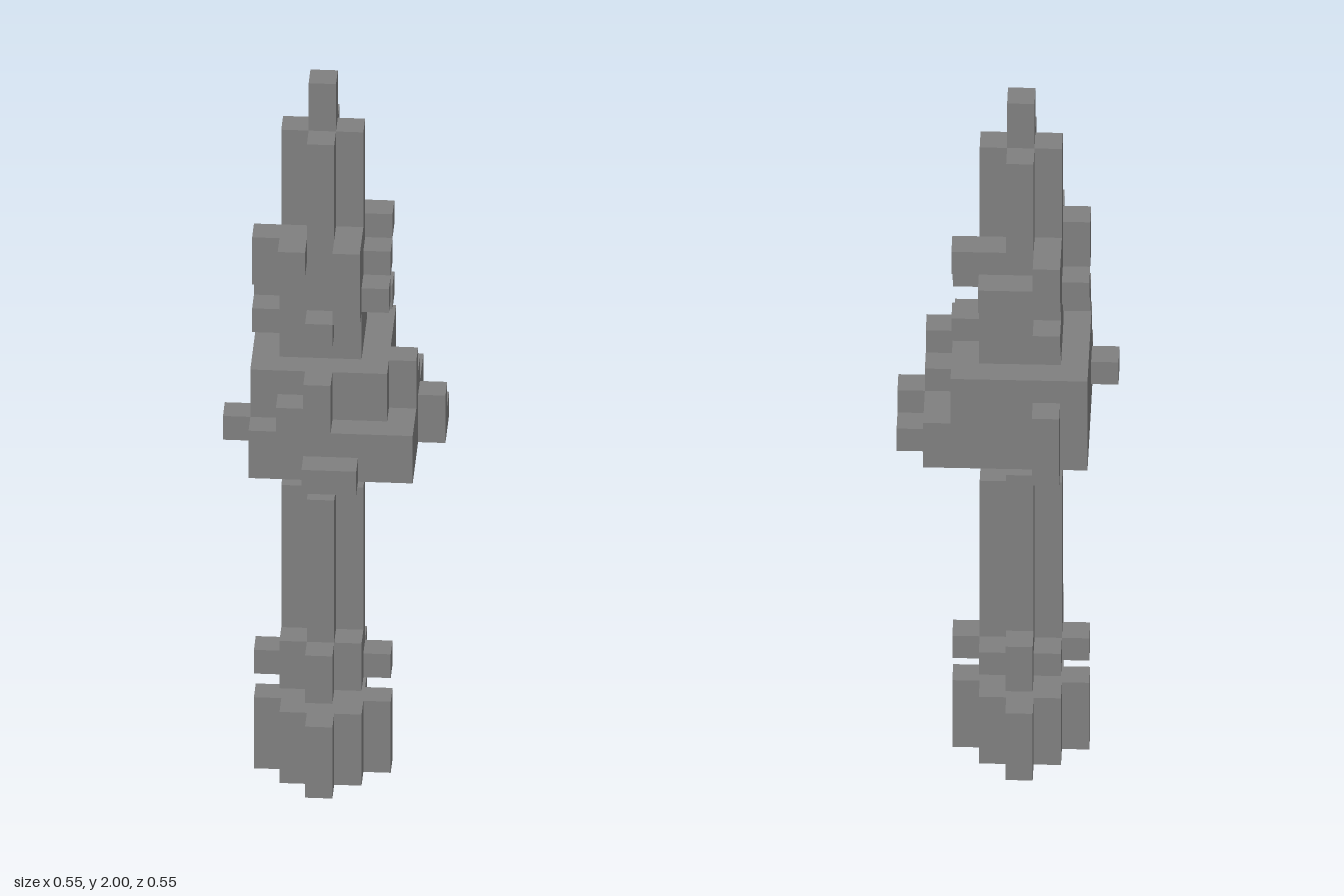
import * as THREE from 'three';

const U = 2 / 29; // one cube; the whole stands 29 cubes high

export function createModel() {
  const model = new THREE.Group();
  const grey = new THREE.MeshStandardMaterial({ color: 0x808080 });
  grey.name = 'stone grey';

  const part = (name) => {
    const g = new THREE.Group();
    g.name = name;
    model.add(g);
    return g;
  };
  // Block over cells a0..a1 (x), b0..b1 (z) counted from the axis cell, heights y0..y1
  const block = (g, name, a0, a1, b0, b1, y0, y1) => {
    const geo = new THREE.BoxGeometry((a1 - a0 + 1) * U, (y1 - y0) * U, (b1 - b0 + 1) * U);
    const m = new THREE.Mesh(geo, grey);
    m.name = name;
    m.position.set(((a0 + a1) / 2 - 0.5) * U, ((y0 + y1) / 2) * U, ((b0 + b1) / 2 - 0.5) * U);
    g.add(m);
  };
  // Stepped diamond made of rows
  const diamond = (g, name, r, y0, y1) => {
    for (let b = -r; b <= r; b++) {
      const w = r - Math.abs(b);
      block(g, name, -w, w, b, b, y0, y1);
    }
  };
  const cubes = (g, name, list) => {
    for (const [a, b, y0, y1] of list) block(g, name, a, a, b, b, y0, y1);
  };

  // Foot
  diamond(part('foot'), 'footRow', 2, 0, 3);

  // Collar above the gap
  const collar = part('collar');
  diamond(collar, 'collarRow', 2, 4, 5);
  cubes(collar, 'collarStud', [[0, 2, 5, 6], [0, -2, 5, 6], [1, 1, 5, 6], [-1, 1, 5, 6]]);

  // Shaft with its stepped top
  const shaft = part('shaft');
  diamond(shaft, 'shaftRow', 1, 5, 12);
  cubes(shaft, 'shaftTop', [[0, 0, 12, 14], [0, -1, 12, 13]]);

  // Heavy middle block, cut back at its upper front and left
  const head = part('middleBlock');
  block(head, 'lowerBlock', -2, 3, -2, 3, 14, 16);
  block(head, 'upperBlock', -2, 2, -2, 2, 16, 18);
  cubes(head, 'step', [[0, 3, 16, 18], [-1, 3, 16, 17], [3, 1, 16, 18], [3, 0, 16, 17]]);
  block(head, 'frontBump', 0, 1, 4, 4, 14, 15);
  cubes(head, 'sideBump', [[4, 0, 14, 16], [4, -1, 14, 15], [-3, 2, 15, 16], [-1, -3, 14, 17]]);

  // Knobbly neck
  const neck = part('neck');
  block(neck, 'neckCore', -1, 1, -1, 1, 18, 23);
  cubes(neck, 'knob', [
    [2, -1, 22, 23], [2, 0, 21, 22], [2, 1, 20, 21], [2, -1, 19, 20],
    [1, 2, 20, 23], [-1, 2, 22, 23], [0, 2, 19, 20],
    [-2, 1, 21, 23], [-2, 0, 20, 21], [-2, 1, 19, 20],
    [1, -2, 21, 22], [0, -2, 21, 22], [-1, -2, 21, 23], [-1, -2, 19, 20],
  ]);

  // Spire and tip
  const spire = part('spire');
  diamond(spire, 'spireRow', 1, 23, 27);
  block(spire, 'tip', 0, 0, 0, 0, 27, 29);

  return model;
}
